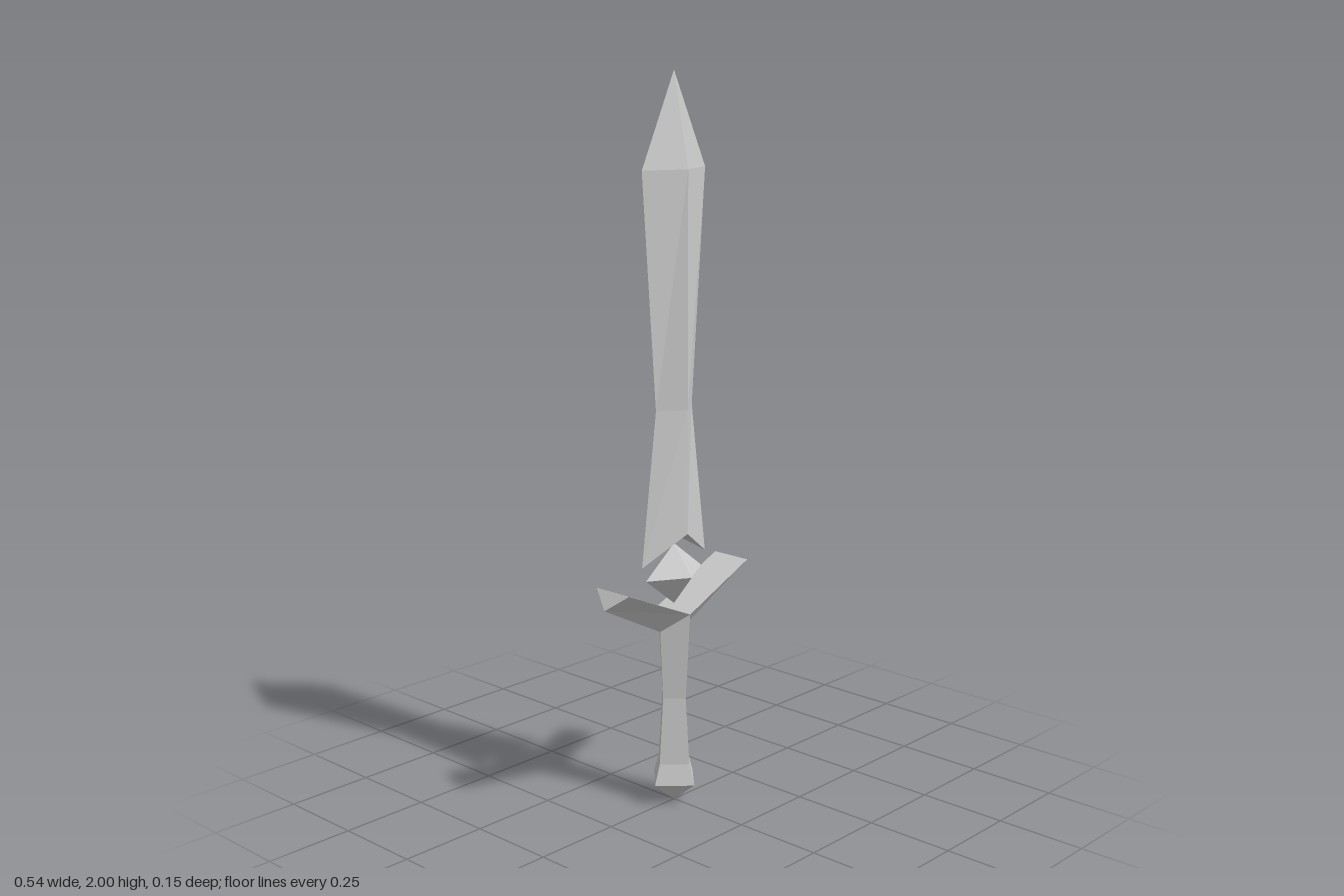
import * as THREE from 'three';

const material = new THREE.MeshStandardMaterial({ color: 0xcccccc, flatShading: true });

// Faceted mesh from polygons whose corners run counter-clockwise seen from outside
function facetMesh(name, polygons) {
  const positions = [];
  for (const p of polygons) {
    for (let i = 1; i < p.length - 1; i++) {
      const tri = [p[0], p[i], p[i + 1]];
      const area = new THREE.Triangle(...tri.map((v) => new THREE.Vector3(...v))).getArea();
      if (area > 1e-8) positions.push(...tri.flat());
    }
  }
  const geometry = new THREE.BufferGeometry();
  geometry.setAttribute('position', new THREE.Float32BufferAttribute(positions, 3));
  geometry.computeVertexNormals();
  const mesh = new THREE.Mesh(geometry, material);
  mesh.name = name;
  return mesh;
}

// Diamond cross-section: edge corners on x, ridge corners on z, each with its own height
const diamond = ([hx, hz, edgeY, ridgeY = edgeY]) =>
  [[hx, edgeY, 0], [0, ridgeY, hz], [-hx, edgeY, 0], [0, ridgeY, -hz]];

// Walls joining diamond sections from bottom to top
function diamondLoft(sections) {
  const rings = sections.map(diamond);
  const faces = [];
  for (let k = 0; k < rings.length - 1; k++) {
    const low = rings[k], high = rings[k + 1];
    for (let i = 0; i < 4; i++) {
      const j = (i + 1) % 4;
      faces.push([low[j], low[i], high[i], high[j]]);
    }
  }
  return faces;
}

export function createModel() {
  const group = new THREE.Group();
  group.name = 'sword';

  // Waisted blade with a notched foot, closed by two sloping faces
  const foot = [0.125, 0.05, 0.7, 0.78];
  const [right, front, left, back] = diamond(foot);
  group.add(facetMesh('blade', [
    ...diamondLoft([foot, [0.07, 0.05, 1.12], [0.12, 0.05, 1.75], [0, 0, 2]]),
    [right, front, back],
    [left, back, front],
  ]));

  // Floating gem in the notch
  group.add(facetMesh('gem', diamondLoft([[0, 0, 0.575], [0.11, 0.065, 0.66], [0, 0, 0.745]])));

  // Guard arms: triangular prisms, flat on top with a ridge below
  const A = [0, 0.555, 0.06], B = [0, 0.555, -0.06], C = [0.055, 0.505, 0];
  const D = [0.236, 0.66, 0.06], E = [0.236, 0.66, -0.06], F = [0.268, 0.615, 0];
  const armFaces = [[A, D, E, B], [A, C, F, D], [B, E, F, C], [D, F, E]];
  for (const side of ['left', 'right']) {
    const arm = facetMesh(side + 'GuardArm', armFaces);
    if (side === 'right') arm.rotation.y = Math.PI;
    group.add(arm);
  }

  // Grip, reaching up into the guard
  group.add(facetMesh('grip', diamondLoft([
    [0.077, 0.077, 0.062], [0.058, 0.058, 0.12], [0.044, 0.044, 0.31], [0.055, 0.06, 0.505, 0.555],
  ])));

  // Pointed pommel
  group.add(facetMesh('pommel', diamondLoft([[0, 0, 0], [0.077, 0.077, 0.062]])));

  return group;
}
